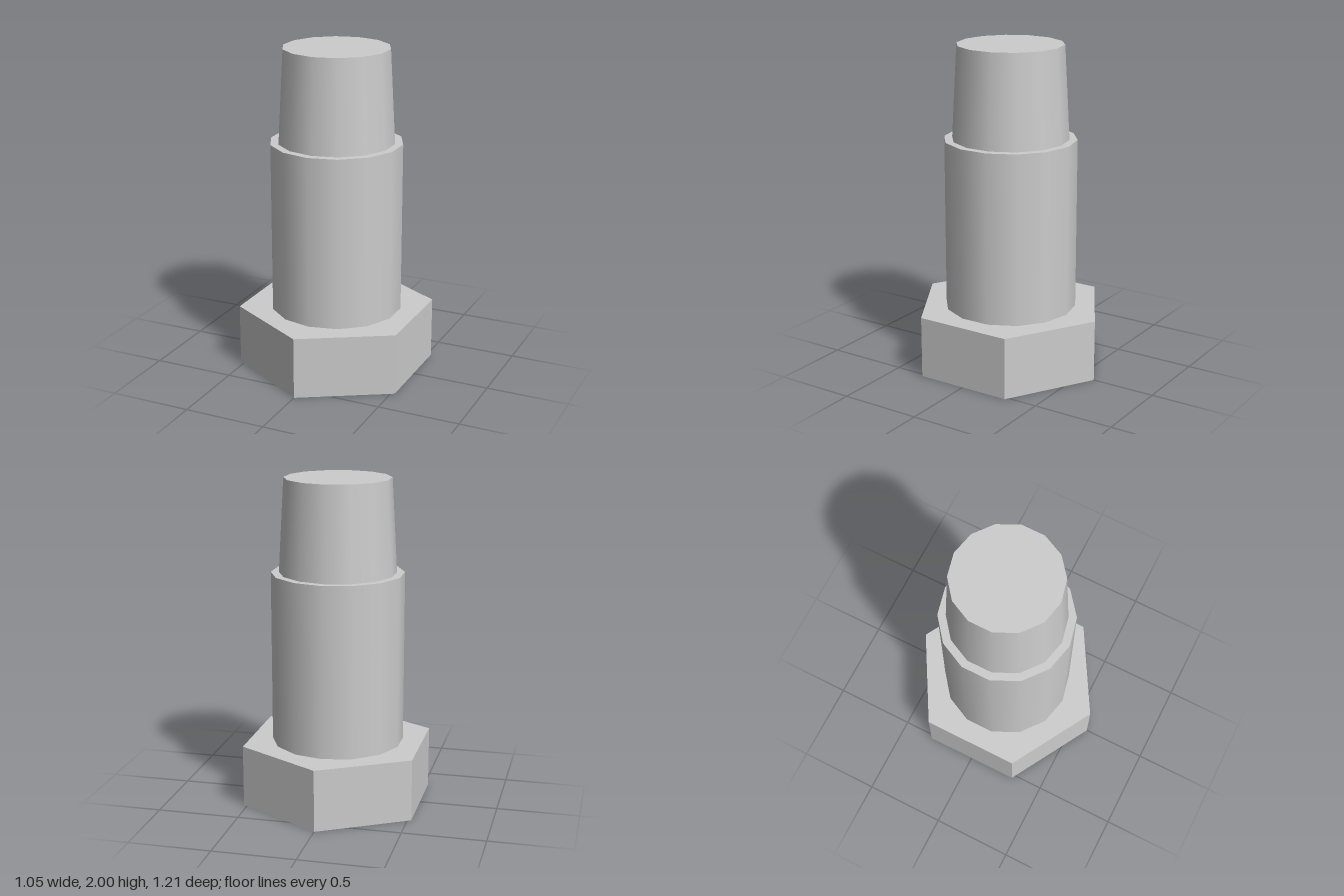
import * as THREE from 'three';

export function createModel() {
  const model = new THREE.Group();
  model.name = 'bolt';

  const steel = new THREE.MeshStandardMaterial({ color: 0xcccccc, side: THREE.DoubleSide });
  steel.name = 'steel grey';

  const HEAD_TOP = 0.38, SHANK_TOP = 1.43, TIP_TOP = 2;

  const add = (name, geometry, y, parent = model) => {
    const mesh = new THREE.Mesh(geometry, steel);
    mesh.name = name;
    mesh.position.y = y;
    parent.add(mesh);
    return mesh;
  };

  // Hexagonal head: thin walls, closed above and hollow below
  const head = new THREE.Group();
  head.name = 'hexHead';
  model.add(head);
  const walls = new THREE.CylinderGeometry(0.604, 0.604, HEAD_TOP, 6, 1, true).toNonIndexed();
  walls.computeVertexNormals(); // flat facets
  add('headWalls', walls, HEAD_TOP / 2, head);
  const plate = new THREE.CircleGeometry(0.604, 6);
  plate.rotateX(-Math.PI / 2);
  plate.rotateY(Math.PI / 2); // corners point along z
  add('headTop', plate, HEAD_TOP, head);

  // Smooth 14-sided round section, open below and capped above
  const section = (name, top, bottom, y0, y1) => {
    const group = new THREE.Group();
    group.name = name;
    model.add(group);
    add(name + 'Side', new THREE.CylinderGeometry(top, bottom, y1 - y0, 14, 1, true), (y0 + y1) / 2, group);
    const cap = new THREE.CircleGeometry(top, 14);
    cap.rotateX(-Math.PI / 2);
    cap.rotateY(Math.PI / 2);
    add(name + 'Cap', cap, y1, group);
  };

  section('shank', 0.404, 0.404, HEAD_TOP, SHANK_TOP);
  section('taperedTip', 0.323, 0.355, SHANK_TOP, TIP_TOP);

  return model;
}
